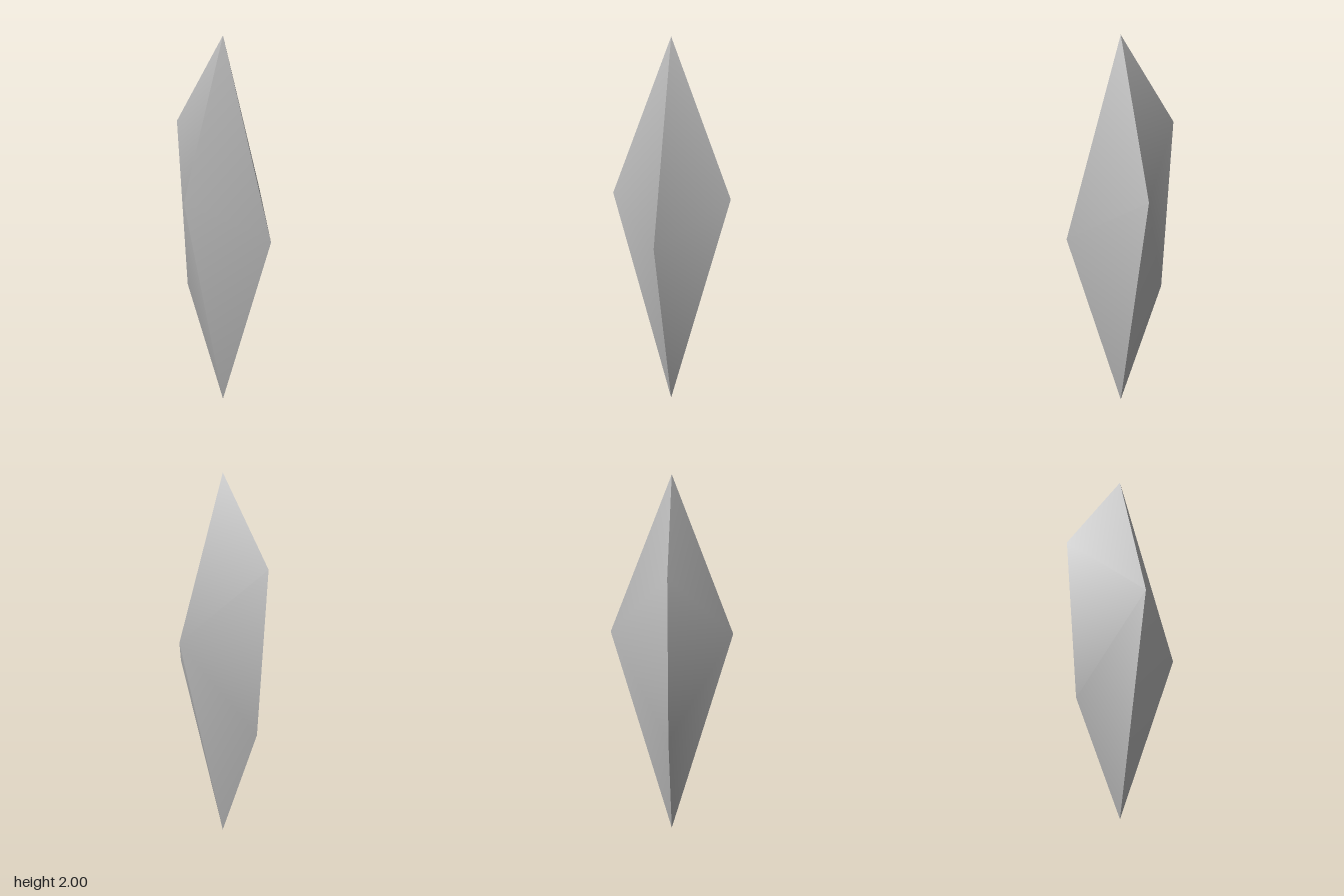
import * as THREE from 'three';

const stone = new THREE.MeshStandardMaterial({ color: 0xc0c0c0 });
stone.name = 'greyStone';

// Corner chains running from the top tip to the bottom tip on each side
const top = [0, 2, 0], bottom = [0, 0, 0];
const leftChain = [top, [0.32, 0.93, 0], bottom];
const rightChain = [top, [-0.32, 1.53, 0], [-0.25, 0.62, 0], bottom];

// One facet: a fan from the front or back corner to a side chain,
// shaded smoothly inside the facet with angle-weighted normals
function facet(name, corner, chain, flip) {
  const points = [corner, ...chain].map((p) => new THREE.Vector3(...p));
  const normals = points.map(() => new THREE.Vector3());
  const index = [];
  for (let i = 1; i < chain.length; i++) {
    const tri = flip ? [0, i, i + 1] : [0, i + 1, i];
    index.push(...tri);
    tri.forEach((v, k) => {
      const a = points[tri[(k + 1) % 3]].clone().sub(points[v]);
      const b = points[tri[(k + 2) % 3]].clone().sub(points[v]);
      const angle = a.angleTo(b);
      normals[v].addScaledVector(a.cross(b).normalize(), angle);
    });
  }
  const flat = (list) => list.flatMap((v) => v.toArray());
  const geometry = new THREE.BufferGeometry();
  geometry.setAttribute('position', new THREE.Float32BufferAttribute(flat(points), 3));
  geometry.setAttribute('normal',
    new THREE.Float32BufferAttribute(flat(normals.map((n) => n.normalize())), 3));
  geometry.setIndex(index);
  const mesh = new THREE.Mesh(geometry, stone);
  mesh.name = name;
  return mesh;
}

export function createModel() {
  const crystal = new THREE.Group();
  crystal.name = 'crystal';
  // Four facets meeting along sharp ridges
  for (const [end, z] of [['front', 0.33], ['back', -0.33]]) {
    const corner = [0, 1.15, z];
    crystal.add(
      facet(end + 'LeftFacet', corner, leftChain, z < 0),
      facet(end + 'RightFacet', corner, rightChain, z > 0),
    );
  }
  return crystal;
}
